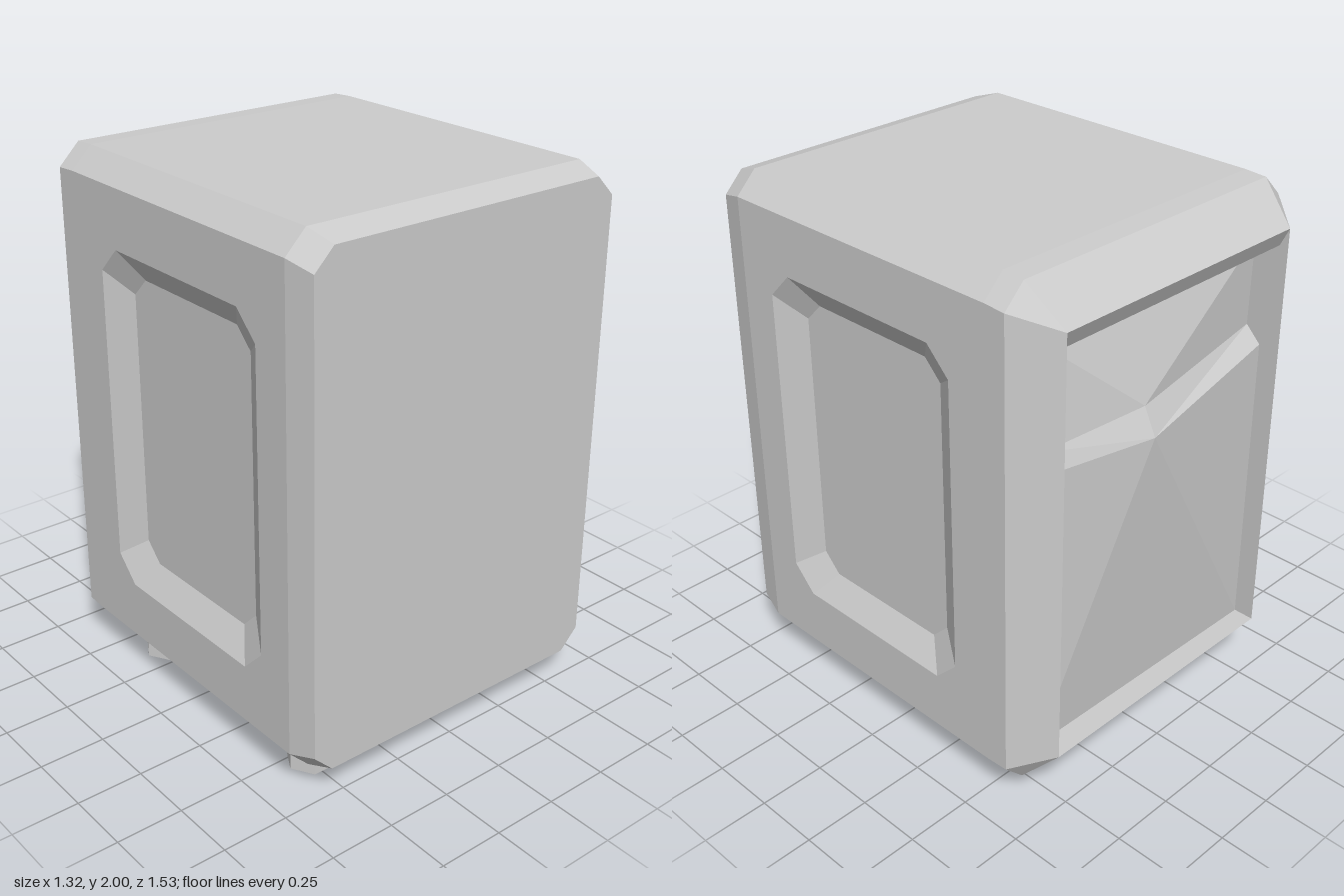
import * as THREE from 'three';

// Chamfered rectangle as eight points, counter-clockwise, pushed through a mapping to 3D
function octagon(u0, u1, y0, y1, c, map) {
  return [
    [u1, y0 + c], [u1, y1 - c], [u1 - c, y1], [u0 + c, y1],
    [u0, y1 - c], [u0, y0 + c], [u0 + c, y0], [u1 - c, y0],
  ].map(([u, y]) => new THREE.Vector3(...map(u, y)));
}

// Collects polygons as flat, unshared triangles
class Faces {
  constructor(flip = false) { this.flip = flip; this.points = []; }
  poly(...p) {
    for (let i = 1; i < p.length - 1; i++) {
      const tri = new THREE.Triangle(p[0], p[i], p[i + 1]);
      if (tri.getArea() < 1e-7) continue;
      this.points.push(tri.a, ...(this.flip ? [tri.c, tri.b] : [tri.b, tri.c]));
    }
  }
  loft(a, b, skip = []) {
    a.forEach((p, i) => {
      const j = (i + 1) % a.length;
      if (!skip.includes(i)) this.poly(p, b[i], b[j], a[j]);
    });
  }
  mesh(name, material) {
    const geometry = new THREE.BufferGeometry().setFromPoints(this.points);
    geometry.computeVertexNormals();
    const mesh = new THREE.Mesh(geometry, material);
    mesh.name = name;
    return mesh;
  }
}

export function createModel() {
  const group = new THREE.Group();
  group.name = 'cabinet';
  const grey = new THREE.MeshStandardMaterial({ color: 0xcccccc });
  grey.name = 'grey';

  // Shell: bevelled front, straight body, tapered back with a recessed opening
  const ring = (w, y0, y1, c, z) => octagon(-w, w, y0, y1, c, (x, y) => [x, y, z]);
  const rings = [
    ring(0.637, 0.12, 1.967, 0.075, 0.765),
    ring(0.662, 0.085, 2.0, 0.08, 0.66),
    ring(0.662, 0.085, 2.0, 0.08, -0.53),
    ring(0.662, 0.09, 1.995, 0.08, -0.615),
    ring(0.545, 0.24, 1.86, 0, -0.755),
    ring(0.545, 0.24, 1.79, 0, -0.72),
    ring(0.545, 0.24, 1.79, 0, -0.6),
  ];
  const shell = new Faces();
  shell.poly(...rings[0]);
  for (let i = 0; i < rings.length - 1; i++) {
    // the long side faces are left open for the recessed sides
    shell.loft(rings[i], rings[i + 1], i === 1 ? [0, 4] : []);
  }
  group.add(shell.mesh('shell', grey));

  // Sides with a sunken, chamfered panel
  for (const s of [1, -1]) {
    const at = (x) => (u, y) => [s * x, y, -u];
    const edge = octagon(-0.66, 0.53, 0.165, 1.92, 0, at(0.662));
    const outer = octagon(-0.51, 0.37, 0.387, 1.7, 0.095, at(0.662));
    const inner = octagon(-0.4, 0.265, 0.49, 1.6, 0.07, at(0.599));
    const walls = new Faces(s > 0);
    walls.loft(edge, outer);
    walls.loft(outer, inner);
    const floor = new Faces(s < 0);
    floor.poly(...inner);
    const side = s > 0 ? 'left' : 'right';
    group.add(walls.mesh(side + 'Side', grey), floor.mesh(side + 'SunkenPanel', grey));
  }

  // Back panel: lower part bulges to a peak, upper part is set deeper
  const v = (x, y, z) => new THREE.Vector3(x, y, z);
  const peak = v(0.13, 1.34, -0.768), ridge = v(0.13, 1.44, -0.72);
  const bottomL = v(0.545, 0.24, -0.66), bottomR = v(-0.545, 0.24, -0.675);
  const lipL = v(0.545, 1.35, -0.69), lipR = v(-0.545, 1.4, -0.675);
  const stepL = v(0.545, 1.42, -0.665), stepR = v(-0.545, 1.46, -0.615);
  const topL = v(0.545, 1.79, -0.62), topR = v(-0.545, 1.79, -0.62);
  const back = new Faces();
  back.poly(peak, bottomL, bottomR);
  back.poly(peak, bottomR, lipR);
  back.poly(peak, lipL, bottomL);
  back.poly(peak, lipR, stepR, ridge);
  back.poly(peak, ridge, stepL, lipL);
  back.poly(ridge, stepR, topR);
  back.poly(ridge, topR, topL);
  back.poly(ridge, topL, stepL);
  group.add(back.mesh('backPanel', grey));

  // Hexagonal feet
  const footGeometry = new THREE.CylinderGeometry(0.0925, 0.0925, 0.1, 6, 1, false, Math.PI / 2).toNonIndexed();
  footGeometry.computeVertexNormals();
  for (const x of [0.443, -0.485]) {
    for (const z of [0.555, -0.345]) {
      const foot = new THREE.Mesh(footGeometry, grey);
      foot.name = 'foot';
      foot.position.set(x, 0.05, z);
      group.add(foot);
    }
  }
  return group;
}
